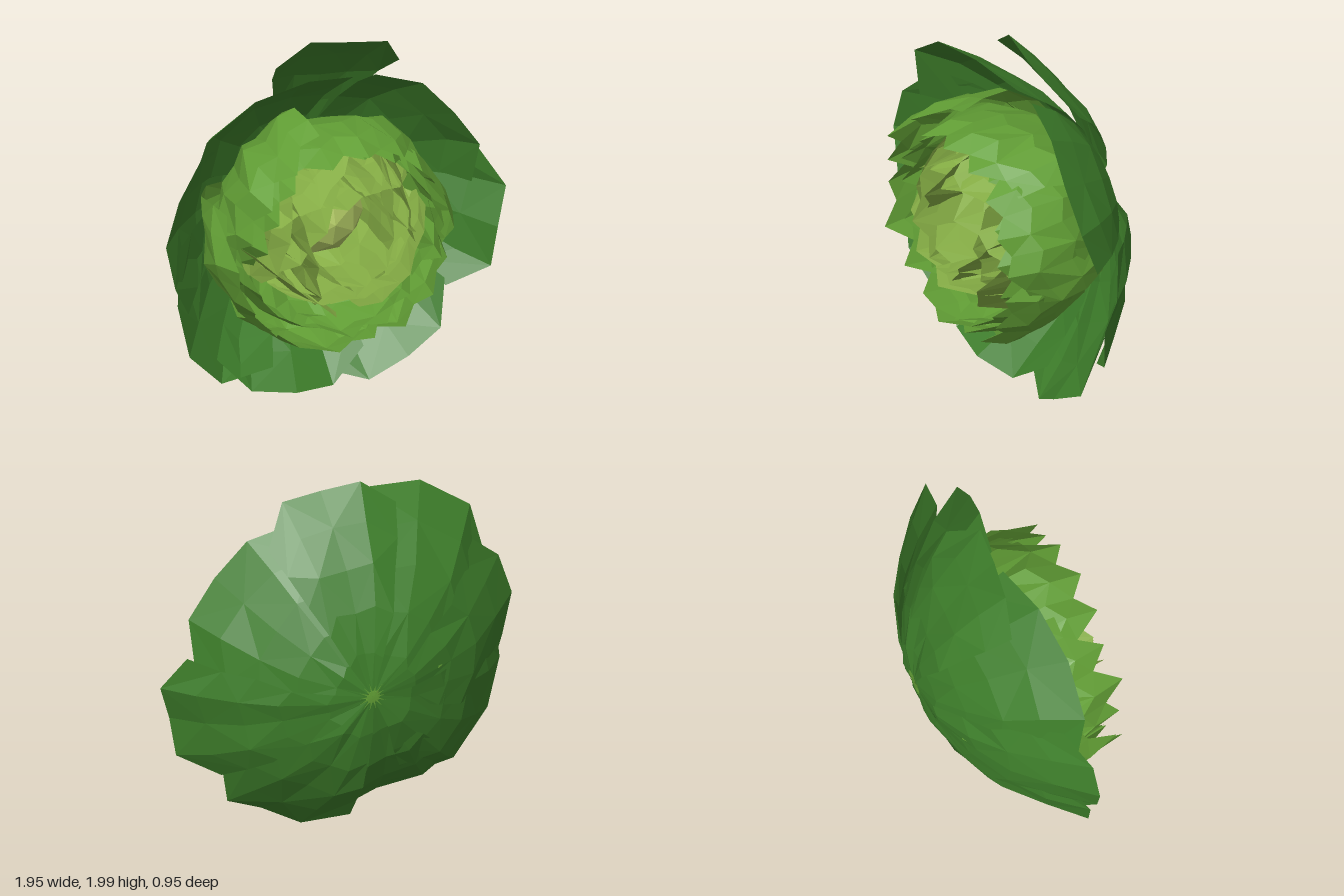
import * as THREE from 'three';

// small seeded noise in -1..1
let seed = 7;
const rnd = () => {
  seed = (seed * 16807) % 2147483647;
  return (seed / 2147483647) * 2 - 1;
};

const mat = (color) => new THREE.MeshStandardMaterial({ color, flatShading: true, side: THREE.DoubleSide });
const OUTER = mat(0x3d7d2a), MIDDLE = mat(0x629f35), INNER = mat(0x86ae45), HEART = mat(0xb2c965);

// leaf sections from root to rim: [share of radius, share of depth]
const OPEN = [[0.04, 0], [0.25, 0.05], [0.48, 0.2], [0.68, 0.41], [0.85, 0.69], [1, 1]];
const CUPPED = [[0.04, 0], [0.5, 0.09], [0.84, 0.3], [1, 0.55], [1.02, 0.8], [0.95, 1]];
const UPRIGHT = [[0.04, 0], [0.55, 0.1], [0.9, 0.32], [1, 0.55], [0.98, 0.78], [0.93, 1]];

// A crumpled leaf from the root (0, 0, z0) to a rim of [x, y, z] points
function leaf(name, rim, section, z0, crumple, material) {
  const pos = [], idx = [], n = rim.length, rows = section.length;
  section.forEach(([r, d], j) => {
    rim.forEach(([x, y, z]) => {
      const k = j === 0 || j === rows - 1 ? 0 : crumple;
      pos.push(x * r + rnd() * k, y * r + rnd() * k, z0 + (z - z0) * d + rnd() * k);
    });
  });
  for (let j = 0; j < rows - 1; j++) {
    for (let i = 0; i < n - 1; i++) {
      const a = j * n + i, b = a + 1, c = a + n, e = c + 1;
      if ((i + j) % 2) idx.push(a, b, c, b, e, c);
      else idx.push(a, b, e, a, e, c);
    }
  }
  const g = new THREE.BufferGeometry();
  g.setAttribute('position', new THREE.Float32BufferAttribute(pos, 3));
  g.setIndex(idx);
  g.computeVertexNormals();
  const m = new THREE.Mesh(g, material);
  m.name = name;
  return m;
}

// Spreading outer leaves: middle angle, half spread, rim depth, then radii along the rim
const OUTER_LEAVES = [
  [84, 24, 0.02, [0.86, 0.987, 0.975, 1.005, 0.91]],
  [121, 38, 0.13, [0.8, 0.88, 0.96, 0.987, 0.88]],
  [176, 30, 0.13, [0.88, 0.955, 0.98, 0.945, 0.9]],
  [215, 34, 0.09, [0.85, 0.95, 1.03, 1.034, 0.88]],
  [256, 28, 0.06, [0.95, 1.006, 0.963, 0.97, 0.85]],
  [295, 26, 0.02, [0.93, 1.017, 0.976, 0.99, 0.85]],
  [345, 26, 0.03, [0.88, 0.993, 0.94, 0.97, 0.87]],
  [38, 36, 0.12, [0.78, 0.832, 0.81, 0.84, 0.81]],
];

function outerLeaf([mid, half, depth, radii]) {
  const rim = radii.map((r, i) => {
    const u = i / 2 - 1, a = THREE.MathUtils.degToRad(mid + u * half);
    return [Math.cos(a) * r, Math.sin(a) * r, depth - 0.1 * u * u + rnd() * 0.03];
  });
  return leaf('outerLeaf', rim, OPEN, -0.485, 0.012, OUTER);
}

// Ring of overlapping cupped leaves
function cupRing(name, count, radius, half, tip, z0, turn, material) {
  const group = new THREE.Group();
  group.name = name;
  for (let k = 0; k < count; k++) {
    const mid = turn + (k / count) * Math.PI * 2;
    const size = radius * (1 + rnd() * 0.04), top = tip + rnd() * 0.05;
    const rim = [];
    for (let i = 0; i <= 8; i++) {
      const u = i / 4 - 1, a = mid + u * half;
      const r = size * (1 - 0.05 * u);
      const z = top - 0.22 * Math.abs(u) ** 3 + (i % 2 ? -0.05 : 0.03) + rnd() * 0.03;
      rim.push([Math.cos(a) * r, Math.sin(a) * r, z]);
    }
    group.add(leaf(name + 'Leaf', rim, CUPPED, z0, 0.018, material));
  }
  return group;
}

// Ring of flat upright leaves, each lying along a chord of the head
function chordRing(name, count, dist, half, tip, z0, turn, material) {
  const group = new THREE.Group();
  group.name = name;
  for (let k = 0; k < count; k++) {
    const a = turn + (k / count) * Math.PI * 2 + rnd() * 0.12;
    const d = dist * (1 + rnd() * 0.2), top = tip + rnd() * 0.06, lean = rnd() * 0.12;
    const rim = [];
    for (let i = 0; i <= 6; i++) {
      const u = i / 3 - 1, s = u * half, q = d + lean * s;
      const z = top - 0.16 * u * u + (i % 2 ? 0.02 : -0.03) + rnd() * 0.025;
      rim.push([Math.cos(a) * q - Math.sin(a) * s, Math.sin(a) * q + Math.cos(a) * s, z]);
    }
    group.add(leaf(name + 'Leaf', rim, UPRIGHT, z0, 0.015, material));
  }
  return group;
}

export function createModel() {
  seed = 7;
  const model = new THREE.Group();
  model.name = 'lettuce';
  const head = new THREE.Group();
  head.name = 'head';
  head.position.set(0, 1, 0);
  model.add(head);

  // spreading outer leaves
  OUTER_LEAVES.forEach((spec) => head.add(outerLeaf(spec)));

  // cupped middle leaves
  const cups = new THREE.Group();
  cups.name = 'middleLeaves';
  cups.position.set(-0.06, -0.02, 0);
  cups.add(cupRing('middle', 6, 0.61, 0.75, 0.38, -0.44, 0.4, MIDDLE));
  cups.add(cupRing('innerMiddle', 5, 0.52, 0.75, 0.33, -0.4, 0.1, MIDDLE));
  head.add(cups);

  // upright inner leaves
  const heart = new THREE.Group();
  heart.name = 'heart';
  heart.position.set(-0.04, 0, 0);
  heart.add(chordRing('inner', 7, 0.34, 0.34, 0.36, -0.36, 0.3, INNER));
  heart.add(chordRing('innermost', 8, 0.23, 0.36, 0.39, -0.32, 0.1, INNER));
  head.add(heart);

  // pale bud in the middle
  const bud = new THREE.Mesh(new THREE.IcosahedronGeometry(0.24, 1), HEART);
  bud.name = 'bud';
  bud.position.set(-0.01, 0.02, -0.08);
  heart.add(bud);

  // small star of stubs at the stem
  const stem = new THREE.Group();
  stem.name = 'stem';
  for (let k = 0; k < 14; k++) {
    const a = (k / 14) * Math.PI * 2;
    const stub = new THREE.Mesh(new THREE.ConeGeometry(0.008, 0.075 + rnd() * 0.02, 3), MIDDLE);
    stub.name = 'stemStub';
    stub.position.set(Math.cos(a) * 0.04, Math.sin(a) * 0.04, -0.487);
    stub.rotation.z = a - Math.PI / 2;
    stem.add(stub);
  }
  head.add(stem);

  return model;
}
